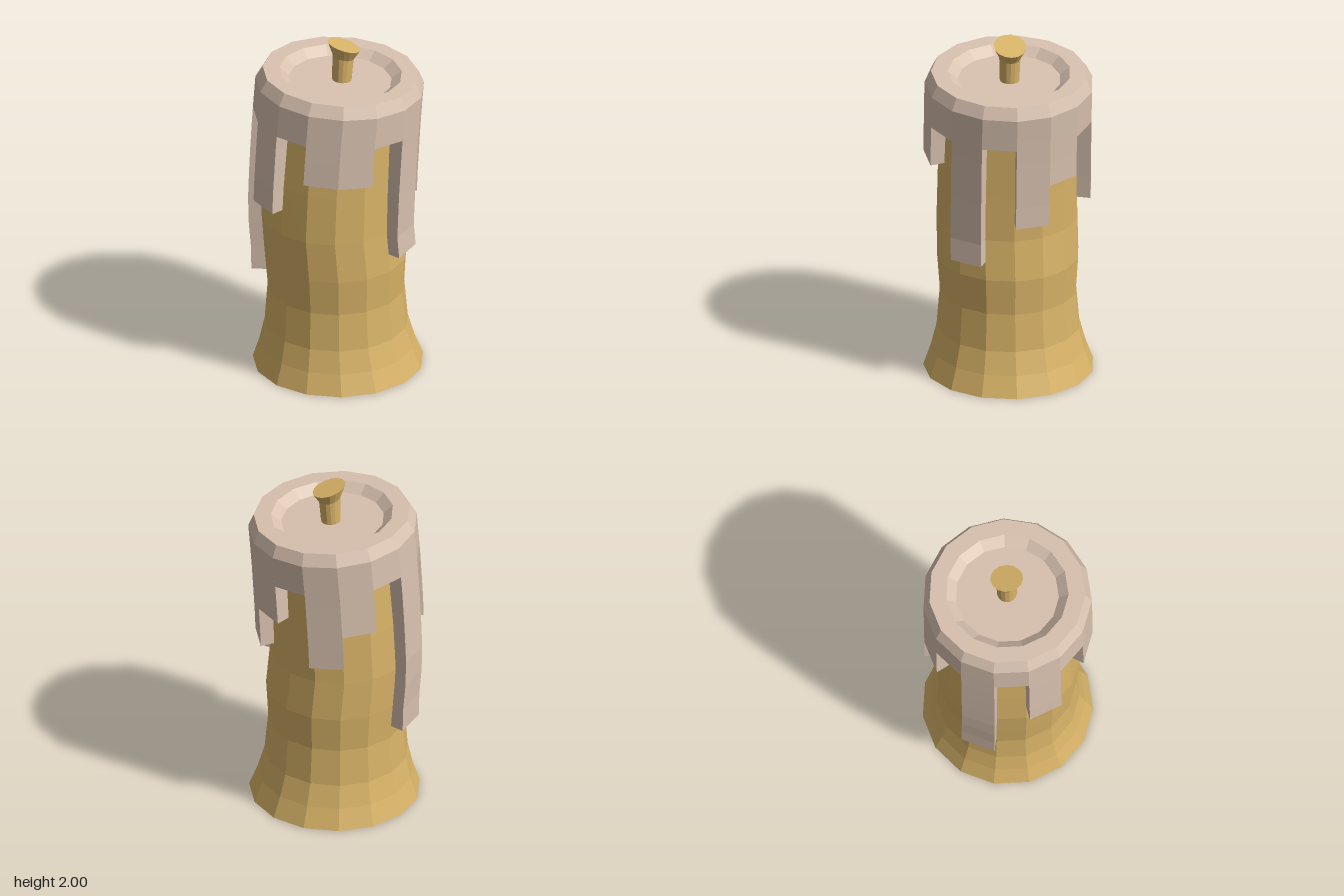
import * as THREE from 'three';

const SIDES = 15;
const STEP = (Math.PI * 2) / SIDES;

// Sideways drift of the candle's centre line, as [height, x]
const CENTRE = [[0, 0], [0.25, -0.01], [0.47, -0.012], [0.68, -0.015], [0.92, -0.035], [1.2, -0.025], [1.5, -0.008], [1.8, 0.015]];

function centreAt(y) {
  for (let i = 1; i < CENTRE.length; i++) {
    const [y0, x0] = CENTRE[i - 1];
    const [y1, x1] = CENTRE[i];
    if (y <= y1) return x0 + ((x1 - x0) * (y - y0)) / (y1 - y0);
  }
  return CENTRE[CENTRE.length - 1][1];
}

// Moves every vertex by a rule
function reshape(geometry, rule) {
  const p = geometry.attributes.position;
  const v = new THREE.Vector3();
  for (let i = 0; i < p.count; i++) {
    rule(v.fromBufferAttribute(p, i));
    p.setXYZ(i, v.x, v.y, v.z);
  }
  geometry.computeVertexNormals();
  return geometry;
}

// Bows the candle sideways and tilts its upper half
function bend(v) {
  const tilt = 0.057 * THREE.MathUtils.clamp((v.y - 0.85) / 0.4, 0, 1);
  const x = v.x;
  v.x += centreAt(v.y);
  v.y -= tilt * x;
}

function lathe(profile) {
  const points = profile.map(([r, y]) => new THREE.Vector2(r, y));
  return new THREE.LatheGeometry(points, SIDES, Math.PI);
}

// One facet of the wax shell, reaching from the rim down to the given height
function waxPanel(k, bottom) {
  const top = 1.735, outer = 0.475, inner = 0.37;
  const rows = Math.max(1, Math.ceil((top - bottom) / 0.15));
  return reshape(new THREE.BoxGeometry(1, 1, 1, 1, rows, 1), (v) => {
    const phi = Math.PI - (k + 0.5 - v.x) * STEP;
    const r = v.z > 0 ? outer : inner;
    v.set(Math.sin(phi) * r, bottom + (v.y + 0.5) * (top - bottom), Math.cos(phi) * r);
    bend(v);
  });
}

export function createModel() {
  const model = new THREE.Group();
  model.name = 'candle';
  const gold = new THREE.MeshStandardMaterial({ color: 0xd9b468, flatShading: true });
  const wax = new THREE.MeshStandardMaterial({ color: 0xd9c2b0, flatShading: true });

  const add = (parent, name, geometry, material) => {
    const mesh = new THREE.Mesh(geometry, material);
    mesh.name = name;
    parent.add(mesh);
  };

  // Flared, waisted body
  const body = lathe([
    [0, 0], [0.48, 0], [0.437, 0.12], [0.403, 0.25], [0.385, 0.47],
    [0.4, 0.68], [0.398, 0.92], [0.393, 1.2], [0.385, 1.5], [0.385, 1.7],
  ]);
  add(model, 'body', reshape(body, bend), gold);

  // Melted top with bevelled rim and shallow pool
  const cap = new THREE.Group();
  cap.name = 'waxCap';
  model.add(cap);
  const rim = lathe([[0.475, 1.735], [0.44, 1.805], [0.345, 1.805], [0.29, 1.76], [0, 1.76]]);
  add(cap, 'rimAndPool', reshape(rim, bend), wax);

  // Shell facets; the listed ones run down as drips
  const drips = { 0: 1.06, 2: 1.3, 3: 1.04, 5: 0.79, 7: 1.305, 8: 1.305, 10: 1.07, 12: 0.55, 14: 1.27 };
  for (let k = 0; k < SIDES; k++) {
    add(cap, k in drips ? 'drip' : 'capWall', waxPanel(k, drips[k] ?? 1.545), wax);
  }

  // Wick, widening to a slanted tip
  const wick = lathe([[0.055, 1.74], [0.06, 1.9], [0.092, 1.97], [0, 1.97]]);
  reshape(wick, (v) => {
    const t = (v.y - 1.74) / 0.23;
    v.y -= 0.333 * t * v.x;
    v.x += 0.02 + 0.012 * t;
  });
  add(model, 'wick', wick, gold);

  return model;
}
